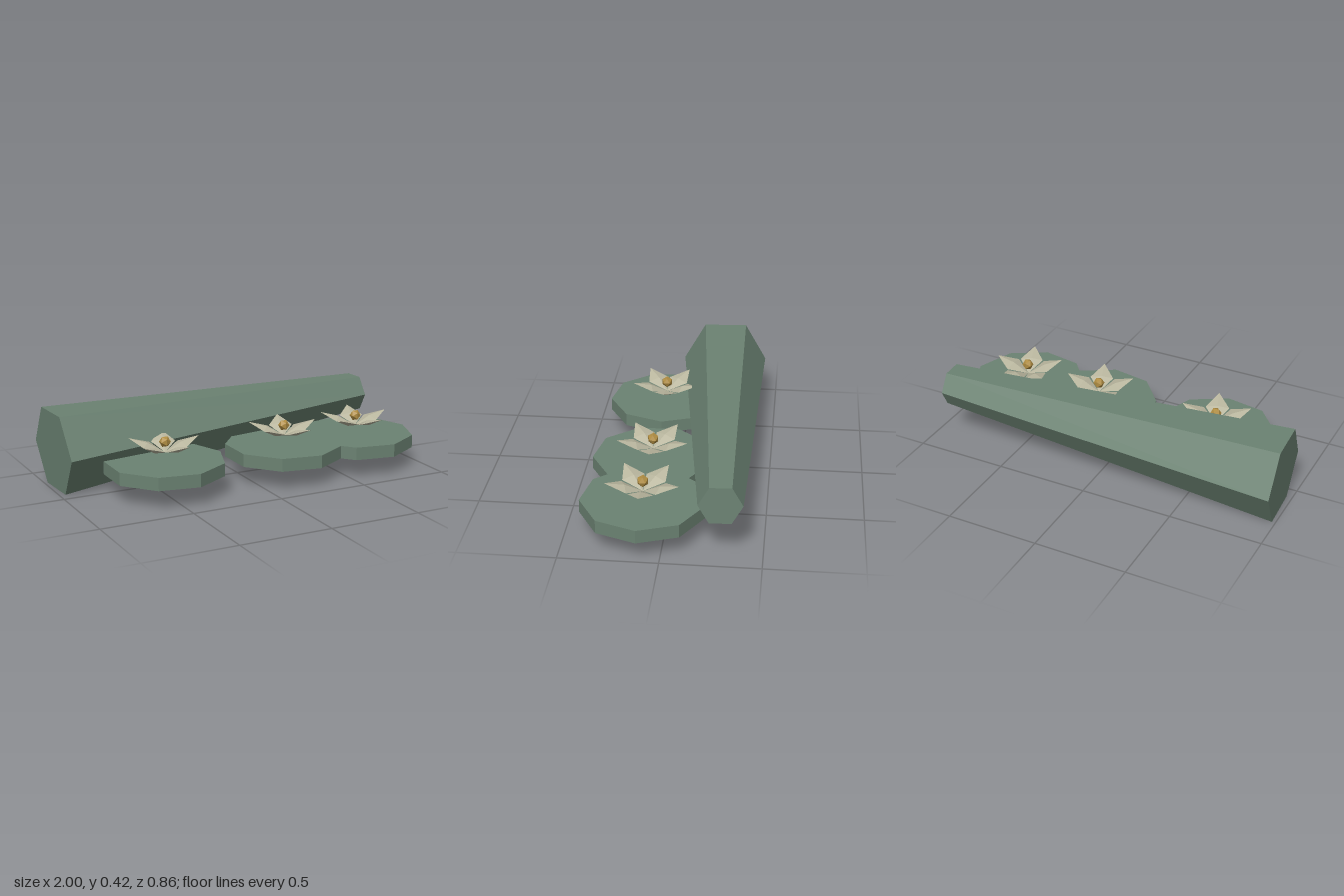
import * as THREE from 'three';

const flat = (name, color) => {
  const m = new THREE.MeshStandardMaterial({ color, flatShading: true });
  m.name = name;
  return m;
};

const part = (name, geometry, material) => {
  const mesh = new THREE.Mesh(geometry, material);
  mesh.name = name;
  return mesh;
};

export function createModel() {
  const moss = flat('mossGreen', 0x6b8272);
  const cream = flat('petalCream', 0xbab79f);
  const gold = flat('stamenGold', 0xb08d42);

  const model = new THREE.Group();
  model.name = 'lilyPadsAndLog';

  // Tapered six-sided log, leaning slightly up and back towards its thin end
  const thick = new THREE.Vector3(-0.984, 0.21, -0.188);
  const thin = new THREE.Vector3(0.923, 0.292, -0.29);
  const axis = thin.clone().sub(thick);
  const logGeo = new THREE.CylinderGeometry(0.11, 0.2425, axis.length(), 6);
  logGeo.rotateZ(-Math.PI / 2);
  const log = part('log', logGeo, moss);
  log.position.copy(thick).add(thin).multiplyScalar(0.5);
  log.quaternion.setFromUnitVectors(new THREE.Vector3(1, 0, 0), axis.normalize());
  model.add(log);

  // Nine-sided pad with a corner on +x
  const padGeo = new THREE.CylinderGeometry(0.32, 0.32, 0.07, 9, 1, false, Math.PI / 2);

  // Petal: a flattened diamond from the flower's heart up to its tip
  const length = 0.195, rise = 0.068;
  const petalGeo = new THREE.OctahedronGeometry(1);
  petalGeo.scale(Math.hypot(length, rise) / 2, 0.014, 0.064);
  petalGeo.rotateZ(Math.atan2(rise, length));
  petalGeo.translate(length / 2, rise / 2, 0);

  const heartGeo = new THREE.IcosahedronGeometry(0.031);

  // Three pads, each with a five-petalled flower
  for (const x of [-0.48, 0.224, 0.678]) {
    const lily = new THREE.Group();
    lily.name = 'lily';
    lily.position.set(x, 0, 0.113);

    const pad = part('pad', padGeo, moss);
    pad.position.y = 0.14;
    lily.add(pad);

    for (let i = 0; i < 5; i++) {
      const petal = part('petal', petalGeo, cream);
      petal.position.y = 0.212;
      petal.rotation.y = (i * Math.PI * 2) / 5;
      lily.add(petal);
    }

    const heart = part('flowerHeart', heartGeo, gold);
    heart.position.y = 0.27;
    lily.add(heart);
    model.add(lily);
  }

  return model;
}
